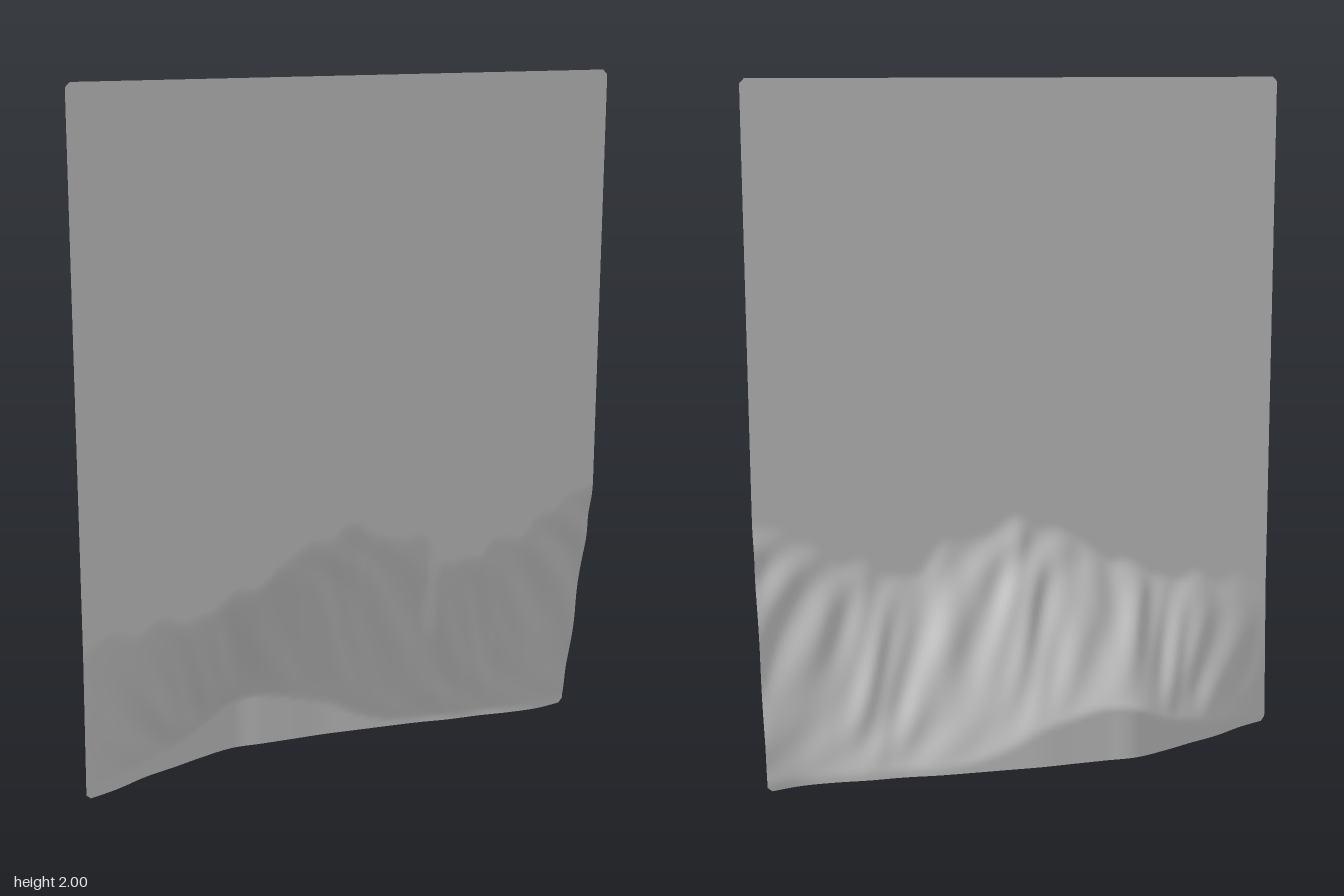
import * as THREE from 'three';

// Stations from x = -0.8 to 0.8: [ridge height, height of the level foot, depth z at the foot]
const STATIONS = [
  [0.44, 0.03, 0.082], [0.49, 0.04, 0.045], [0.49, 0.05, -0.005], [0.50, 0.07, -0.04],
  [0.53, 0.10, -0.078], [0.57, 0.15, -0.107], [0.63, 0.16, -0.104], [0.68, 0.14, -0.102],
  [0.72, 0.11, -0.100], [0.68, 0.06, -0.092], [0.67, 0.03, -0.084], [0.59, 0.02, -0.075],
  [0.58, 0.02, -0.060], [0.62, 0.02, -0.053], [0.66, 0.02, -0.040], [0.72, 0.02, -0.036],
  [0.79, 0.02, -0.054],
];
const profile = new THREE.CatmullRomCurve3(
  STATIONS.map((s) => new THREE.Vector3(...s)), false, 'catmullrom', 0.5);

// Depth of the sheet: flat above the ridge line, falling back to the foot below it
function sheetDepth(x, y) {
  const p = profile.getPoint(THREE.MathUtils.clamp((x + 0.8) / 1.6, 0, 1));
  const flat = 0.094 + 0.004 * y;
  const ridge = p.x + 0.012 * Math.sin(x * 31) + 0.008 * Math.sin(x * 53 + 1);
  const t = THREE.MathUtils.clamp((ridge - y) / (ridge - p.y), 0, 1);
  const soft = 0.06;
  const fall = (Math.hypot(t, soft) - soft) / (Math.hypot(1, soft) - soft);
  // Shallow gullies running down and to the right
  const fade = Math.sin(Math.PI * t) * Math.min(1, (x + 0.8) * 4);
  const gullies = 0.006 * Math.sin(32 * (x + 0.8 * y) + 2 * Math.sin(9 * y))
    + 0.003 * Math.sin(58 * (x + 0.45 * y) + 2 * Math.sin(14 * x));
  return flat + (p.z - flat) * fall + gullies * fade;
}

export function createModel() {
  const group = new THREE.Group();
  group.name = 'reliefPanel';

  const geometry = new THREE.PlaneGeometry(1.6, 2, 120, 150);
  geometry.translate(0, 1, 0);
  const pos = geometry.attributes.position;
  for (let i = 0; i < pos.count; i++) {
    let x = pos.getX(i);
    let y = pos.getY(i);
    // Clip the four corners slightly
    if (Math.abs(x) > 0.795 && Math.abs(y - 1) > 0.995) {
      x -= Math.sign(x) * 0.007;
      y -= Math.sign(y - 1) * 0.007;
    }
    pos.setXYZ(i, x, y, sheetDepth(x, y));
  }
  geometry.computeVertexNormals();

  const sheet = new THREE.Mesh(geometry, new THREE.MeshStandardMaterial({
    color: 0xcccccc, side: THREE.DoubleSide,
  }));
  sheet.name = 'mountainSheet';
  group.add(sheet);
  return group;
}
